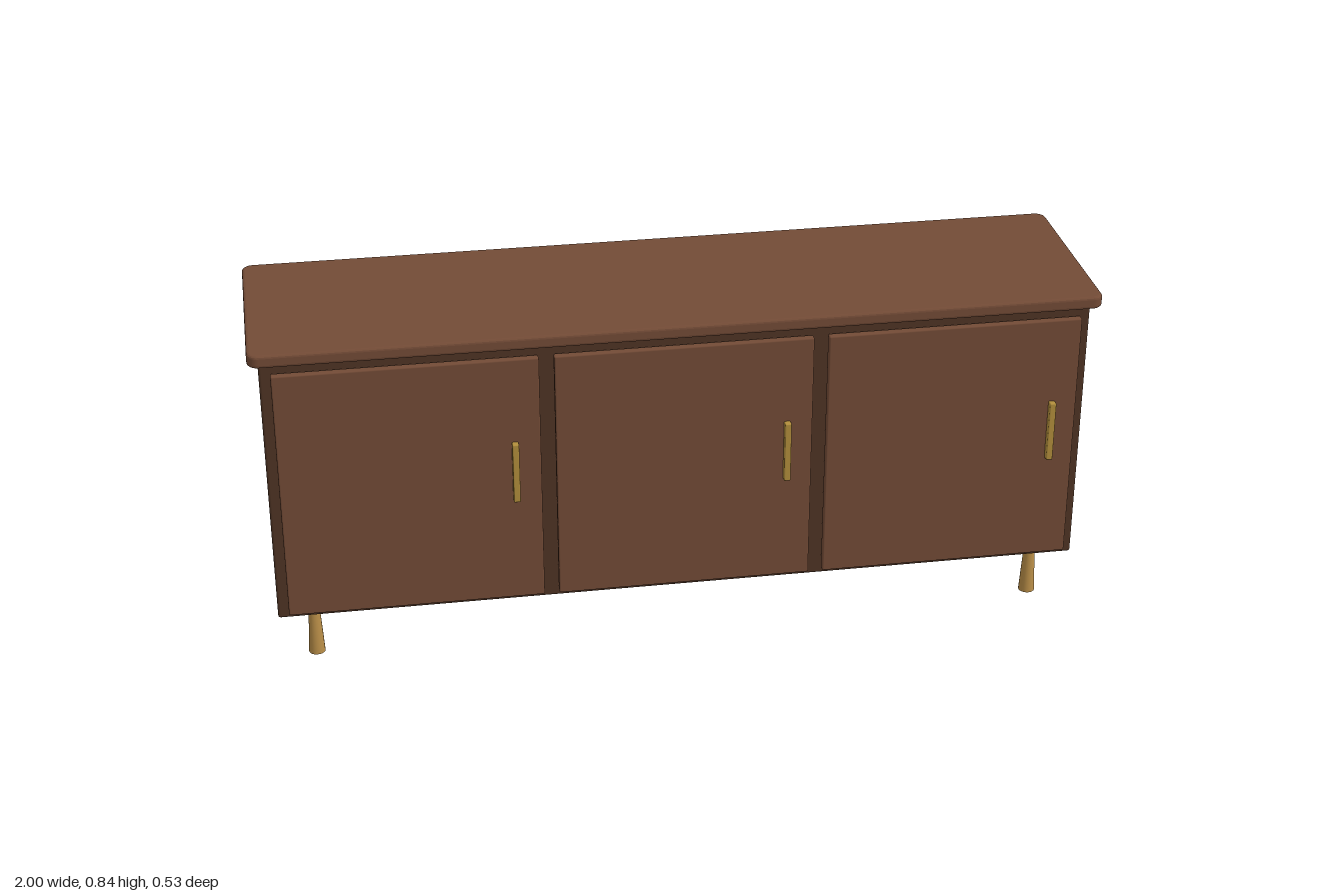
import * as THREE from 'three';
import { RoundedBoxGeometry } from 'three/addons/geometries/RoundedBoxGeometry.js';

const material = (name, color) => {
  const m = new THREE.MeshStandardMaterial({ color });
  m.name = name;
  return m;
};

// Flat slab with rounded plan corners and softened edges, base at y = 0
function slabGeometry(w, h, d, r, bevel) {
  const x = w / 2 - bevel, y = d / 2 - bevel, c = r - bevel;
  const s = new THREE.Shape();
  s.moveTo(-x + c, -y);
  s.lineTo(x - c, -y);
  s.absarc(x - c, -y + c, c, -Math.PI / 2, 0);
  s.absarc(x - c, y - c, c, 0, Math.PI / 2);
  s.absarc(-x + c, y - c, c, Math.PI / 2, Math.PI);
  s.absarc(-x + c, -y + c, c, Math.PI, Math.PI * 1.5);
  const g = new THREE.ExtrudeGeometry(s, {
    depth: h - 2 * bevel, bevelThickness: bevel, bevelSize: bevel, bevelSegments: 3, curveSegments: 6,
  });
  return g.translate(0, 0, bevel).rotateX(-Math.PI / 2);
}

export function createModel() {
  const model = new THREE.Group();
  model.name = 'sideboard';
  const walnut = material('walnut', 0x734b36);
  const darkWalnut = material('dark walnut', 0x4f3424);
  const brass = material('brass', 0xb38f3c);
  const legBrass = material('warm brass', 0xb98e48);

  const add = (name, geometry, mat, x, y, z) => {
    const mesh = new THREE.Mesh(geometry, mat);
    mesh.name = name;
    mesh.position.set(x, y, z);
    model.add(mesh);
  };

  // Cabinet and overhanging top
  add('cabinetBody', new RoundedBoxGeometry(1.952, 0.675, 0.476, 2, 0.006), darkWalnut, 0, 0.4735, -0.019);
  add('top', slabGeometry(2, 0.031, 0.511, 0.026, 0.007), walnut, 0, 0.813, -0.008);

  // Three doors, each with an upright handle near its right-hand edge
  const doorGeometry = new RoundedBoxGeometry(0.61, 0.633, 0.019, 2, 0.004);
  const handleGeometry = new RoundedBoxGeometry(0.016, 0.153, 0.018, 2, 0.003);
  for (const x of [-0.645, 0, 0.645]) {
    add('door', doorGeometry, walnut, x, 0.4735, 0.2365);
    add('handle', handleGeometry, brass, x + 0.244, 0.5015, 0.2545);
  }

  // Tapered legs, wider at the floor
  const legGeometry = new THREE.CylinderGeometry(0.0125, 0.02, 0.137, 20);
  for (const x of [-0.89, 0.89])
    for (const z of [0.159, -0.174]) add('leg', legGeometry, legBrass, x, 0.0685, z);

  return model;
}
